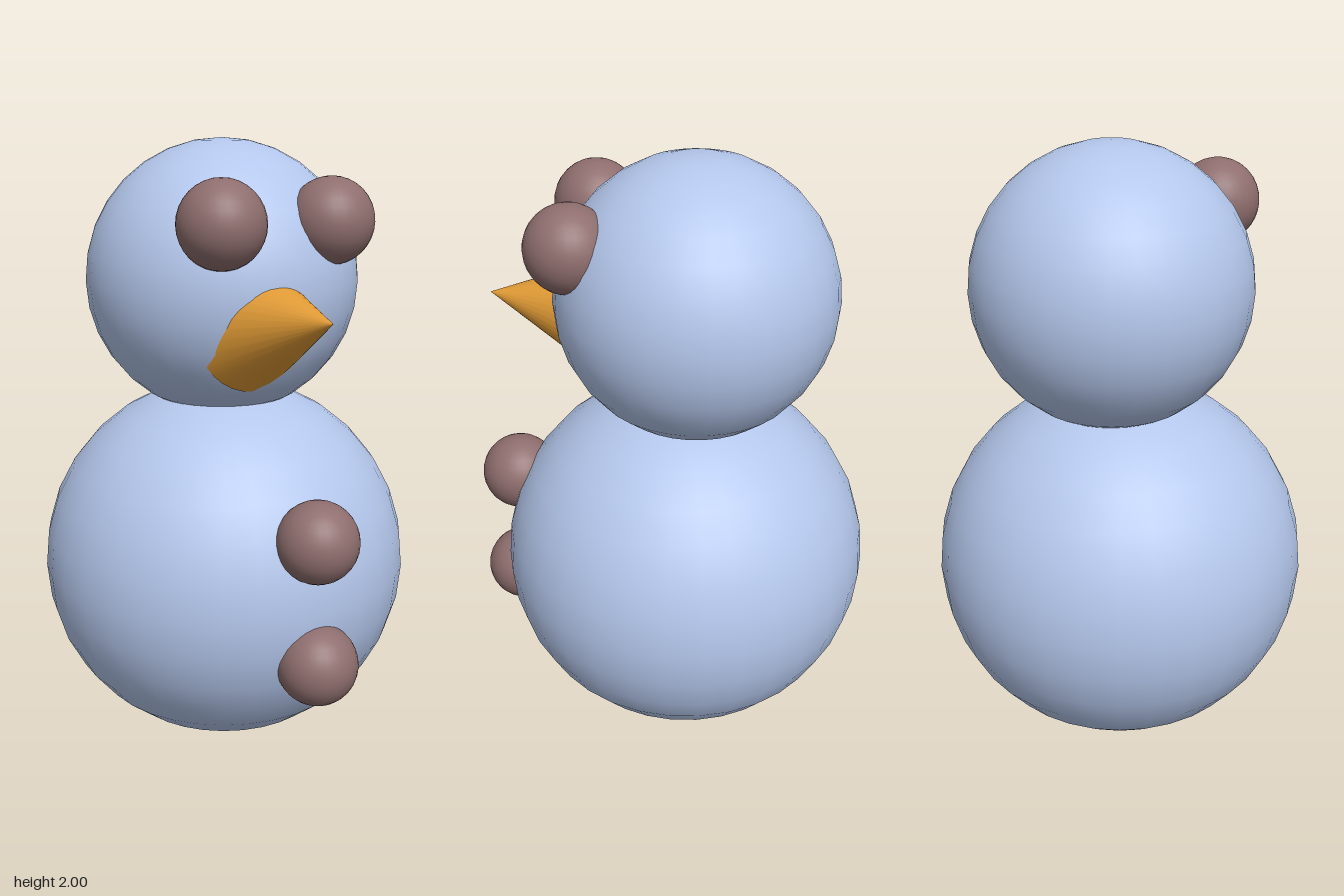
import * as THREE from 'three';

const snow = new THREE.MeshStandardMaterial({ color: 0xb4c7ec });
const coal = new THREE.MeshStandardMaterial({ color: 0x8f6e6e });
const carrot = new THREE.MeshStandardMaterial({ color: 0xe09a35 });

function ball(name, material, radius, x, y, z) {
  const mesh = new THREE.Mesh(new THREE.SphereGeometry(radius, 32, 16), material);
  mesh.name = name;
  mesh.position.set(x, y, z);
  return mesh;
}

export function createModel() {
  const model = new THREE.Group();
  model.name = 'snowman';

  // Snowballs
  model.add(ball('body', snow, 0.608, 0, 0.612, -0.053));
  model.add(ball('head', snow, 0.442, 0.013, 1.558, -0.083));

  // Eyes, slightly uneven
  model.add(ball('rightEye', coal, 0.134, -0.207, 1.77, 0.256));
  model.add(ball('leftEye', coal, 0.134, 0.175, 1.762, 0.277));

  // Buttons
  model.add(ball('upperButton', coal, 0.128, -0.042, 0.845, 0.527));
  model.add(ball('lowerButton', coal, 0.128, -0.042, 0.446, 0.537));

  // Nose: a cone sunk into the head, its tip tilted up
  const length = 0.4;
  const tip = new THREE.Vector3(-0.045, 1.515, 0.58);
  const direction = new THREE.Vector3(0.04, 0.167, 1).normalize();
  const cone = new THREE.ConeGeometry(length * 0.507, length, 32);
  cone.translate(0, -length / 2, 0);
  const nose = new THREE.Mesh(cone, carrot);
  nose.name = 'nose';
  nose.position.copy(tip);
  nose.quaternion.setFromUnitVectors(new THREE.Vector3(0, 1, 0), direction);
  model.add(nose);

  return model;
}
